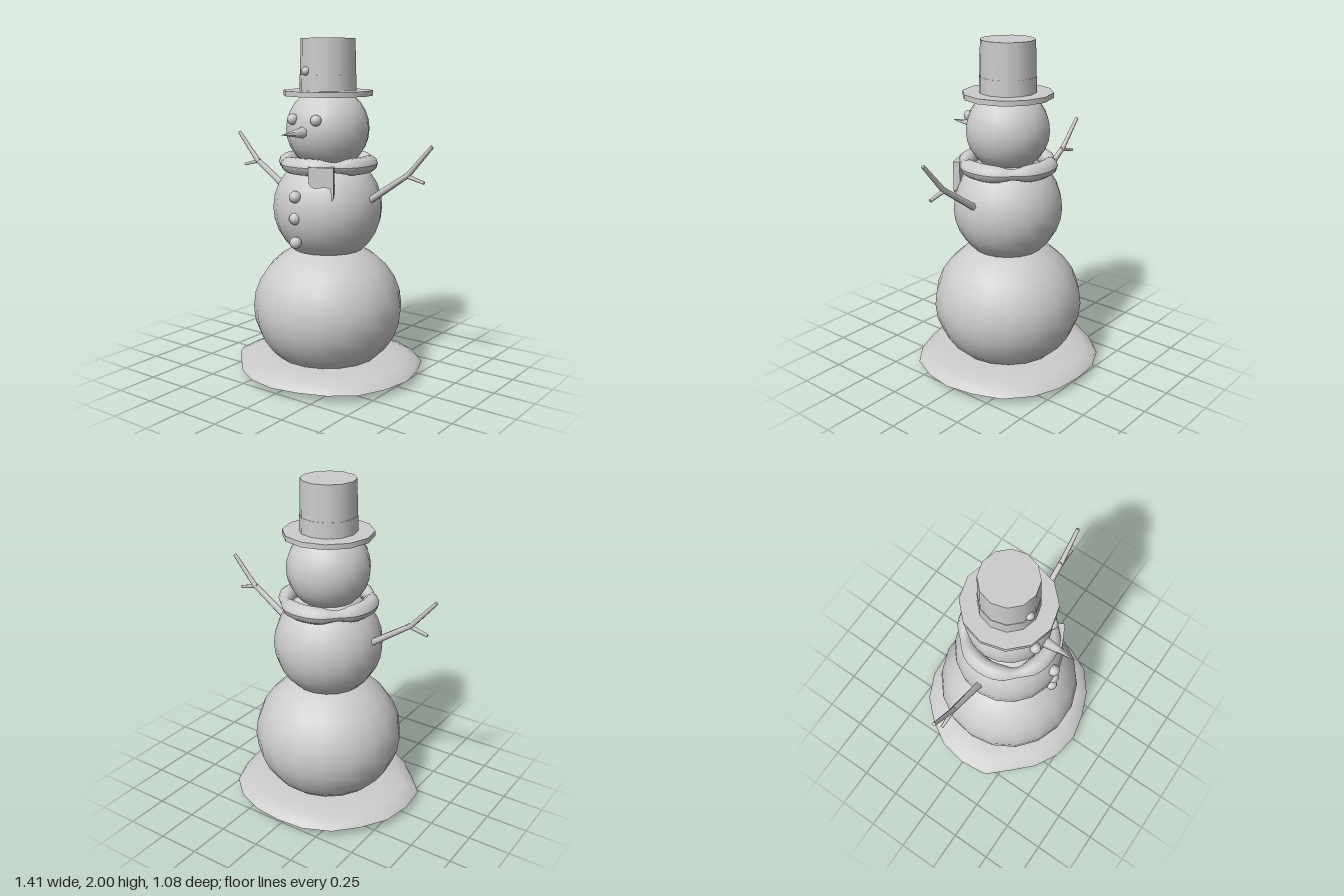
import * as THREE from 'three';
import { toCreasedNormals } from 'three/addons/utils/BufferGeometryUtils.js';

export function createModel() {
  const model = new THREE.Group();
  model.name = 'snowman';
  const clay = new THREE.MeshStandardMaterial({ color: 0xcccccc });
  clay.name = 'plain grey';

  const add = (name, geometry, x = 0, y = 0, z = 0) => {
    const mesh = new THREE.Mesh(geometry, clay);
    mesh.name = name;
    mesh.position.set(x, y, z);
    model.add(mesh);
    return mesh;
  };
  const ball = (name, r, x, y, z, w = 16, h = 12) =>
    add(name, new THREE.SphereGeometry(r, w, h), x, y, z);

  // Tapered stick between two points
  const stick = (name, a, b, ra, rb) => {
    const from = new THREE.Vector3(...a), to = new THREE.Vector3(...b);
    const dir = to.clone().sub(from);
    const mesh = add(name, new THREE.CylinderGeometry(rb, ra, dir.length(), 6));
    mesh.position.copy(from).add(to).multiplyScalar(0.5);
    mesh.quaternion.setFromUnitVectors(new THREE.Vector3(0, 1, 0), dir.normalize());
  };

  // Snow patch: a low dome with an uneven rim, one radius per 18 degrees from the front
  const rim = [0.54, 0.53, 0.545, 0.565, 0.56, 0.565, 0.56, 0.577, 0.567, 0.55,
    0.54, 0.553, 0.56, 0.555, 0.57, 0.575, 0.585, 0.535, 0.535, 0.54];
  const profile = [[0, 0.045], [1, 0.045], [0.97, 0.066], [0.86, 0.09], [0.7, 0.105], [0.5, 0.115], [0, 0.115]]
    .map(([x, y]) => new THREE.Vector2(x, y));
  const patch = new THREE.LatheGeometry(profile, rim.length);
  const p = patch.attributes.position;
  for (let i = 0; i < p.count; i++) {
    const r = rim[Math.floor(i / profile.length) % rim.length];
    p.setX(i, p.getX(i) * r);
    p.setZ(i, p.getZ(i) * r);
  }
  add('snowPatch', toCreasedNormals(patch, 0.7));

  // Three snowballs
  ball('lowerBall', 0.45, 0, 0.405, 0, 18, 14).scale.y = 0.9;
  ball('middleBall', 0.325, 0, 1.015, 0, 18, 14);
  ball('head', 0.245, 0, 1.48, 0, 18, 14);

  // Face
  for (const s of [-1, 1]) ball('eye', 0.032, s * 0.083, 1.545, 0.225, 10, 8);
  const nose = add('nose', new THREE.ConeGeometry(0.036, 0.21, 6), 0, 1.475, 0.325);
  nose.rotation.x = Math.PI / 2;

  // Coat buttons
  for (const [y, z] of [[1.115, 0.312], [0.99, 0.313], [0.85, 0.31]])
    ball('button', 0.035, 0, y, z, 10, 8);

  // Top hat with band and stud
  add('hatBrim', new THREE.CylinderGeometry(0.263, 0.263, 0.03, 12), 0, 1.688, 0);
  add('hatCrown', new THREE.CylinderGeometry(0.159, 0.166, 0.3, 12), 0, 1.85, 0);
  add('hatBand', new THREE.CylinderGeometry(0.166, 0.168, 0.09, 12), 0, 1.748, 0);
  ball('hatStud', 0.025, -0.042, 1.815, 0.155, 10, 8);

  // Scarf: a ring pinched at its four diagonals
  const scarf = new THREE.TorusGeometry(0.25, 0.05, 10, 40);
  const q = scarf.attributes.position;
  for (let i = 0; i < q.count; i++) {
    const angle = Math.atan2(q.getY(i), q.getX(i));
    const pinch = 1 - 0.4 * Math.pow(Math.sin(2 * angle), 8);
    const r = 0.25 + (Math.hypot(q.getX(i), q.getY(i)) - 0.25) * pinch;
    q.setXYZ(i, r * Math.cos(angle), r * Math.sin(angle), q.getZ(i) * pinch);
  }
  scarf.computeVertexNormals();
  add('scarf', scarf, 0, 1.282, 0).rotation.x = Math.PI / 2;

  // Hanging scarf end
  const tail = new THREE.Shape([[-0.07, 0.02], [-0.07, -0.07], [-0.055, -0.09], [-0.03, -0.1], [0.03, -0.09],
    [0.058, -0.1], [0.064, -0.17], [0.075, -0.15], [0.075, 0.02]].map(([x, y]) => new THREE.Vector2(x, y)));
  const tailGeometry = new THREE.ExtrudeGeometry(tail, { depth: 0.04, bevelEnabled: false });
  const end = add('scarfEnd', tailGeometry, 0.13, 1.27, 0.235);
  end.rotation.y = 0.45;

  // Twig arms
  for (const s of [-1, 1]) {
    stick('arm', [s * 0.28, 1.07, 0], [s * 0.555, 1.255, 0], 0.022, 0.016);
    stick('longTwig', [s * 0.545, 1.245, 0], [s * 0.7, 1.42, 0], 0.016, 0.011);
    stick('shortTwig', [s * 0.53, 1.25, 0], [s * 0.655, 1.217, 0], 0.013, 0.009);
  }
  return model;
}
